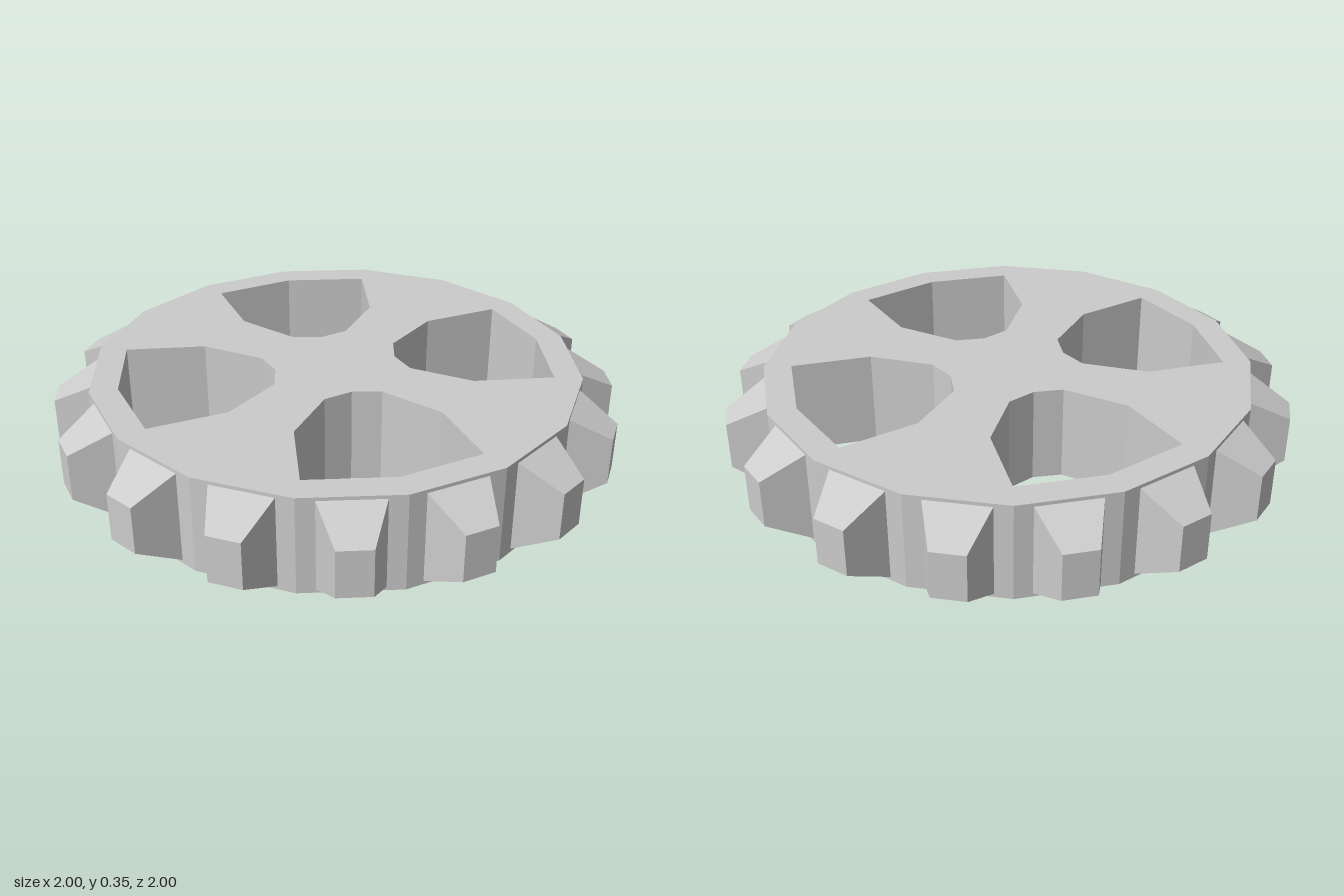
import * as THREE from 'three';

const TEETH = 16, RADIUS = 0.88, HEIGHT = 0.355, TIP = 1.008;
const STEP = (Math.PI * 2) / TEETH;
const APOTHEM = RADIUS * Math.cos(STEP / 2);

// One lightening hole, as [x, z] corners; repeated every quarter turn
const HOLE = [
  [0.55, -0.55], [0.72, -0.3], [0.78, 0], [0.5, 0.067],
  [0.27, 0], [0.205, -0.085], [0.19, -0.19], [0.305, -0.403],
];

// Sixteen-sided disc with four holes
function discGeometry() {
  const rim = Array.from({ length: TEETH }, (_, i) =>
    new THREE.Vector2(RADIUS * Math.cos(i * STEP), RADIUS * Math.sin(i * STEP)));
  const shape = new THREE.Shape(rim);
  for (let q = 0; q < 4; q++) {
    const corners = HOLE.map(([x, z]) =>
      new THREE.Vector2(x, z).rotateAround(new THREE.Vector2(), q * Math.PI / 2));
    shape.holes.push(new THREE.Path(corners));
  }
  const geo = new THREE.ExtrudeGeometry(shape, { depth: HEIGHT, bevelEnabled: false });
  return geo.rotateX(Math.PI / 2).translate(0, HEIGHT, 0);
}

// Tooth pointing along +z: a box tapered in width and height towards its tip
function toothGeometry() {
  const geo = new THREE.BoxGeometry(0.22, 0.33, TIP - APOTHEM);
  const p = geo.attributes.position;
  for (let i = 0; i < p.count; i++) {
    if (p.getZ(i) > 0) {
      p.setX(i, p.getX(i) * 0.53);
      p.setY(i, p.getY(i) * 0.52);
    }
  }
  geo.translate(0, HEIGHT / 2, (TIP + APOTHEM) / 2);
  geo.computeVertexNormals();
  return geo;
}

export function createModel() {
  const group = new THREE.Group();
  group.name = 'gearWheel';
  const material = new THREE.MeshStandardMaterial({ color: 0xcccccc, flatShading: true });

  const disc = new THREE.Mesh(discGeometry(), material);
  disc.name = 'disc';
  group.add(disc);

  // One tooth in the middle of each rim facet
  const teeth = new THREE.Group();
  teeth.name = 'teeth';
  const toothGeo = toothGeometry();
  for (let i = 0; i < TEETH; i++) {
    const tooth = new THREE.Mesh(toothGeo, material);
    tooth.name = 'tooth';
    tooth.rotation.y = (i + 0.5) * STEP;
    teeth.add(tooth);
  }
  group.add(teeth);
  return group;
}
